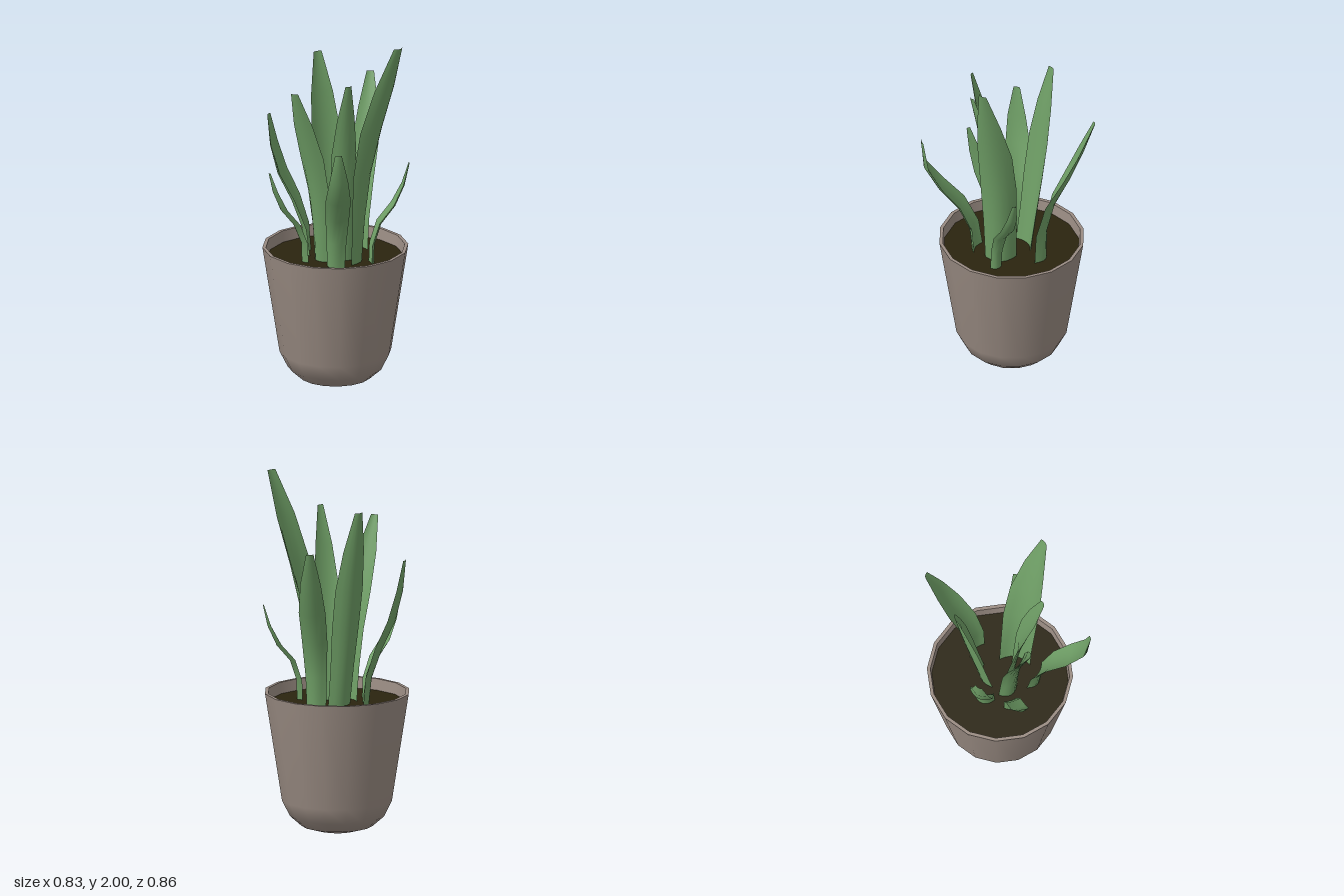
import * as THREE from 'three';

const clayGrey = new THREE.MeshStandardMaterial({ name: 'warm grey clay', color: 0x9a8c83 });
const soilBrown = new THREE.MeshStandardMaterial({ name: 'dark soil', color: 0x2a240f });
const leafGreen = new THREE.MeshStandardMaterial({ name: 'leaf green', color: 0x6f9f66 });

const SIDES = 16;
const COLS = 6;
const ROOT_Y = 0.7;
// Relative leaf width at each section, from root to tip
const TAPER = [0.8, 0.85, 0.97, 1, 0.75, 0.27];

function lathe(name, profile, material) {
  const points = profile.map(([r, y]) => new THREE.Vector2(r, y));
  const mesh = new THREE.Mesh(new THREE.LatheGeometry(points, SIDES), material);
  mesh.name = name;
  return mesh;
}

// A cupped, twisting blade: lens-shaped sections along a curve from the soil to the tip.
// The two turn angles give the outward direction (0 = +z, 90 = +x) at root and tip.
function leaf(name, width, turn, [rootX, rootZ], ...points) {
  const curve = new THREE.CatmullRomCurve3([
    new THREE.Vector3(rootX, ROOT_Y, rootZ),
    ...points.map((p) => new THREE.Vector3(...p)),
  ]);
  const last = TAPER.length - 1;
  const row = 2 * (COLS + 1);
  const position = [];
  const index = [];
  TAPER.forEach((taper, i) => {
    const t = i / last;
    const a = THREE.MathUtils.degToRad(THREE.MathUtils.lerp(turn[0], turn[1], t));
    const center = curve.getPointAt(t);
    const side = new THREE.Vector3(Math.cos(a), 0, -Math.sin(a));
    const out = side.clone().cross(curve.getTangentAt(t)).normalize();
    const w = width * taper;
    const cup = w * (0.3 - 0.12 * t);
    const thick = i === last ? 0 : 0.016;
    for (let j = 0; j < row; j++) {
      const inner = j > COLS;
      const u = inner ? 1 - (2 * (j - COLS - 1)) / COLS : (2 * j) / COLS - 1;
      const depth = -cup * (u * u - 0.35) - (inner ? thick * (1 - u * u) : 0);
      const v = center.clone().addScaledVector(side, (u * w) / 2).addScaledVector(out, depth);
      position.push(v.x, v.y, v.z);
      if (i < last && j !== COLS && j !== row - 1) {
        const k = i * row + j;
        index.push(k, k + 1, k + row + 1, k, k + row + 1, k + row);
      }
    }
  });
  const geo = new THREE.BufferGeometry();
  geo.setAttribute('position', new THREE.Float32BufferAttribute(position, 3));
  geo.setIndex(index);
  geo.computeVertexNormals();
  const mesh = new THREE.Mesh(geo, leafGreen);
  mesh.name = name;
  return mesh;
}

export function createModel() {
  const model = new THREE.Group();
  model.name = 'pottedPlant';

  // Pot: rounded outside, flat rim, inner wall and soil
  const pot = new THREE.Group();
  pot.name = 'pot';
  pot.position.set(0.01, 0, -0.035);
  pot.add(
    lathe('potWall', [[0, 0], [0.12, 0.003], [0.2, 0.027], [0.265, 0.085], [0.31, 0.175], [0.405, 0.783]], clayGrey),
    lathe('potRim', [[0.405, 0.783], [0.386, 0.783]], clayGrey),
    lathe('potInside', [[0.386, 0.783], [0.376, 0.7]], clayGrey),
    lathe('soil', [[0.379, 0.72], [0, 0.72]], soilBrown),
  );

  // Tall upright leaves in the middle
  const leaves = new THREE.Group();
  leaves.name = 'leaves';
  leaves.add(
    leaf('backLeaf', 0.18, [180, 180], [0.035, -0.12], [0.035, 1.25, -0.2], [0.028, 1.84, -0.29]),
    leaf('tallFrontLeaf', 0.215, [60, 10], [0.09, 0.085], [0.12, 1.28, 0.14], [0.23, 2, 0.305]),
    leaf('middleLeaf', 0.14, [-41, 5], [0.015, 0.035], [0, 1.2, 0.085], [-0.03, 1.79, 0.205]),
    leaf('rightLeaf', 0.15, [-78, -45], [-0.1, -0.015], [-0.135, 1.15, 0.005], [-0.285, 1.735, 0.04]),
  );

  // Outer leaves that bend away from the middle
  leaves.add(
    leaf('backLeftLeaf', 0.15, [119, 152], [0.21, -0.115], [0.22, 1, -0.13], [0.32, 1.36, -0.25], [0.385, 1.655, -0.34]),
    leaf('frontRightLeaf', 0.14, [-58, -17], [-0.09, 0.14], [-0.1, 0.94, 0.18], [-0.19, 1.28, 0.395], [-0.205, 1.475, 0.42]),
    leaf('backRightLeaf', 0.14, [-120, -143], [-0.1, -0.165], [-0.12, 0.92, -0.185], [-0.25, 1.25, -0.245], [-0.29, 1.53, -0.265]),
    leaf('smallRightLeaf', 0.085, [-92, -88], [-0.185, -0.04], [-0.2, 0.88, -0.04], [-0.34, 1.075, -0.035], [-0.41, 1.275, -0.02]),
    leaf('smallLeftLeaf', 0.08, [80, 70], [0.145, 0.15], [0.165, 0.9, 0.15], [0.305, 1.085, 0.165], [0.362, 1.275, 0.175]),
  );

  model.add(pot, leaves);
  return model;
}
